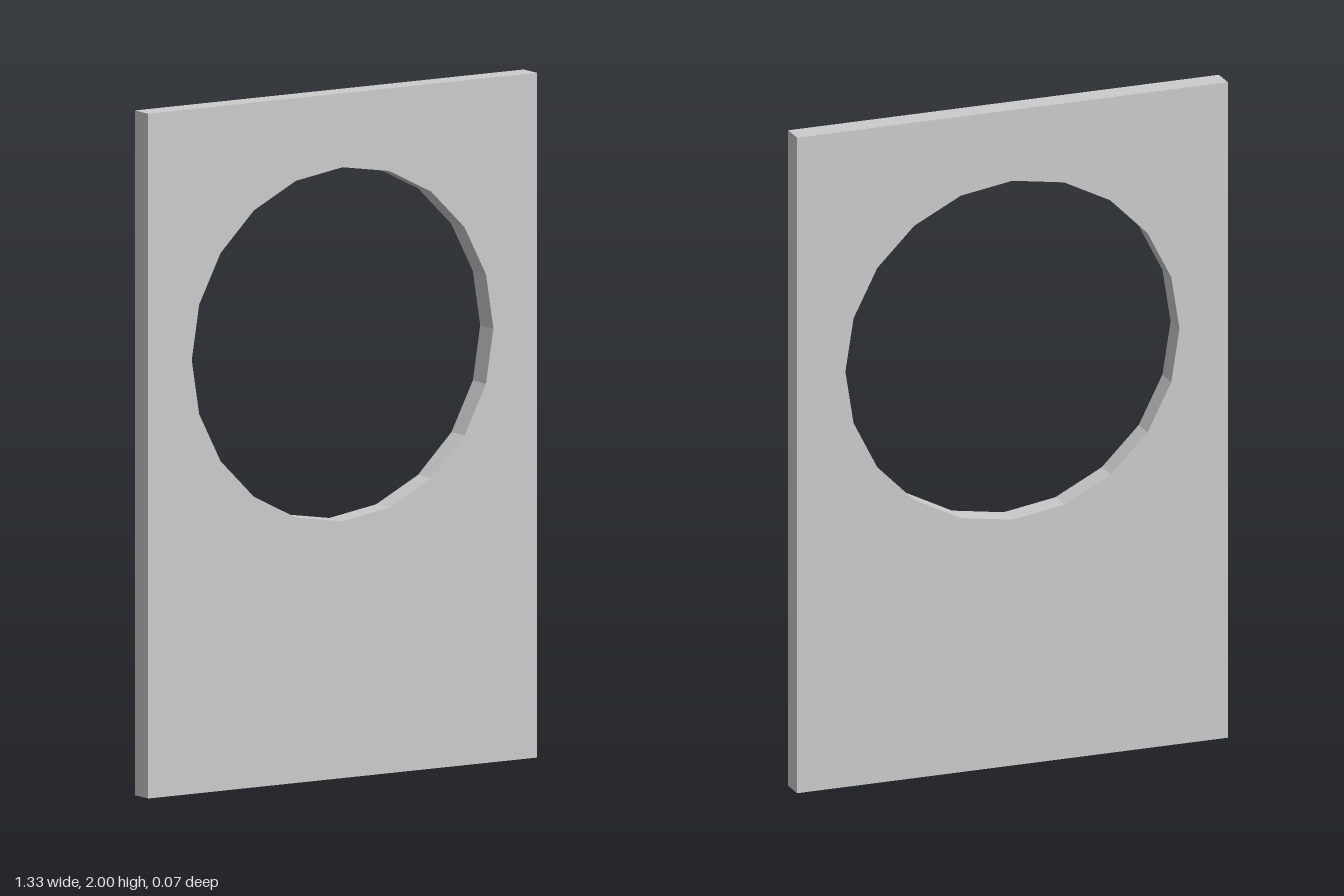
import * as THREE from 'three';

const WIDTH = 1.333, HEIGHT = 2, DEPTH = 0.07;
const HOLE_Y = 1.267, HOLE_RADIUS = 0.517, HOLE_SIDES = 20;

export function createModel() {
  const group = new THREE.Group();
  const material = new THREE.MeshStandardMaterial({ color: 0xcccccc, flatShading: true });

  // Upright rectangular board outline
  const w = WIDTH / 2;
  const outline = new THREE.Shape([
    new THREE.Vector2(-w, 0),
    new THREE.Vector2(w, 0),
    new THREE.Vector2(w, HEIGHT),
    new THREE.Vector2(-w, HEIGHT),
  ]);

  // Twenty-sided opening in the upper half
  const rim = Array.from({ length: HOLE_SIDES }, (_, i) => {
    const a = -i * 2 * Math.PI / HOLE_SIDES;
    return new THREE.Vector2(HOLE_RADIUS * Math.cos(a), HOLE_Y + HOLE_RADIUS * Math.sin(a));
  });
  outline.holes.push(new THREE.Path(rim));

  const geometry = new THREE.ExtrudeGeometry(outline, { depth: DEPTH, bevelEnabled: false });
  geometry.translate(0, 0, -DEPTH / 2);

  const board = new THREE.Mesh(geometry, material);
  board.name = 'boardWithRoundOpening';
  group.add(board);
  return group;
}
